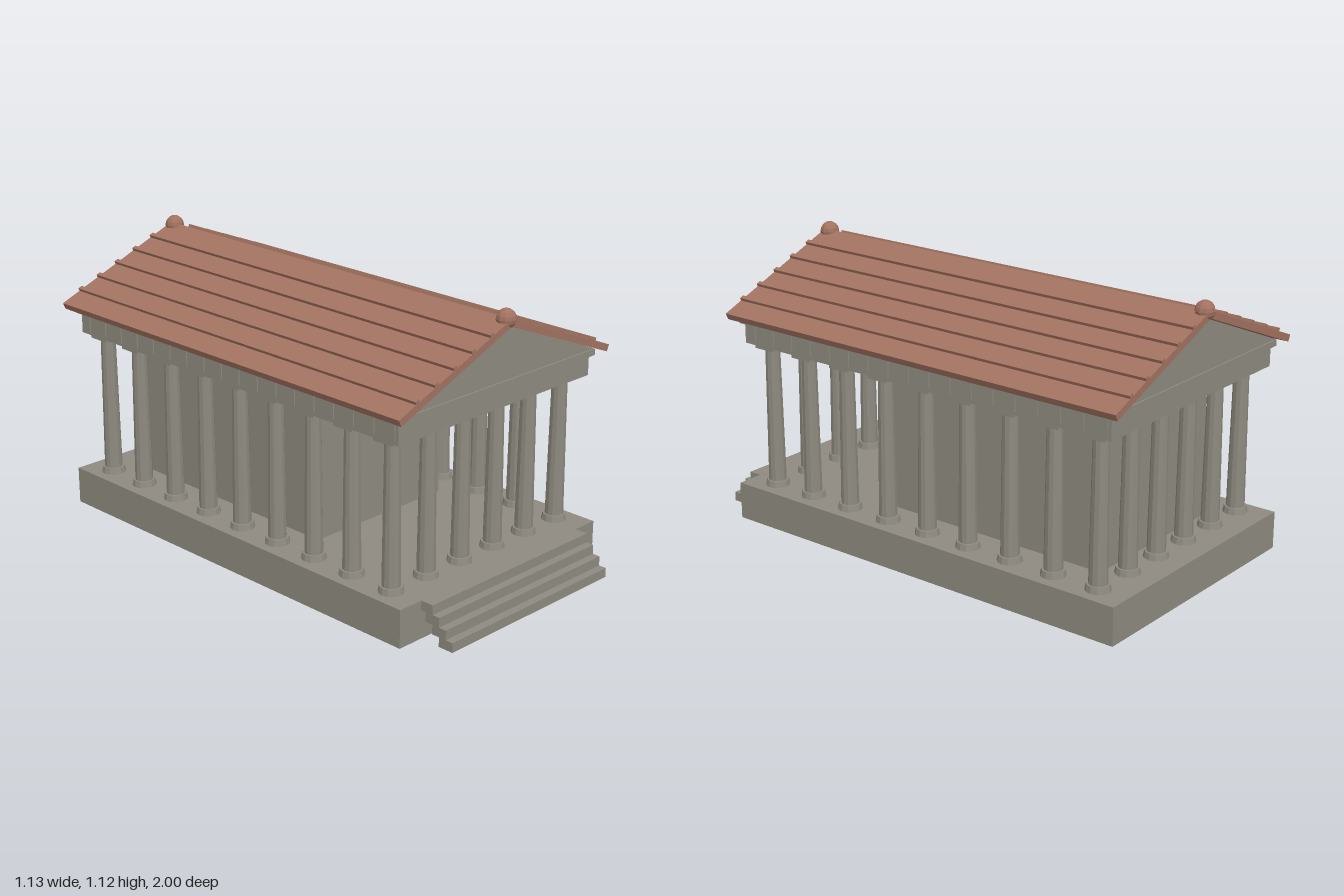
import * as THREE from 'three';

export function createModel() {
  const model = new THREE.Group();
  model.name = 'temple';

  const stone = new THREE.MeshStandardMaterial({ color: 0x8e8a80 });
  stone.name = 'grey stone';
  const tile = new THREE.MeshStandardMaterial({ color: 0xa27260 });
  tile.name = 'terracotta';

  const MID = -0.063; // z of the building's middle

  // Faceted copy of a geometry
  const facet = (geo) => {
    const g = geo.index ? geo.toNonIndexed() : geo;
    g.computeVertexNormals();
    return g;
  };
  const add = (parent, name, geo, mat, x = 0, y = 0, z = 0) => {
    const mesh = new THREE.Mesh(geo, mat);
    mesh.name = name;
    mesh.position.set(x, y, z);
    parent.add(mesh);
    return mesh;
  };
  // Box given by its width, bottom, top and depth
  const block = (parent, name, w, y0, y1, d, z = MID, x = 0) =>
    add(parent, name, new THREE.BoxGeometry(w, y1 - y0, d), stone, x, (y0 + y1) / 2, z);

  // Podium and inner chamber
  block(model, 'podium', 1.08, 0, 0.15, 1.826);
  block(model, 'chamber', 0.67, 0.15, 0.683, 1.005, -0.272);

  // Front stairs: overlapping slabs
  const stairs = new THREE.Group();
  stairs.name = 'stairs';
  for (let i = 0; i < 4; i++) {
    block(stairs, 'step', 0.864, i * 0.0375, (i + 1) * 0.0375, 0.064, 0.968 - i * 0.032);
  }
  model.add(stairs);

  // Columns around the edge, 6 by 9
  const baseGeo = facet(new THREE.CylinderGeometry(0.044, 0.049, 0.025, 12));
  const shaftGeo = facet(new THREE.CylinderGeometry(0.03, 0.036, 0.55, 12));
  const capitalGeo = new THREE.BoxGeometry(0.095, 0.017, 0.095);
  const columns = new THREE.Group();
  columns.name = 'columns';
  for (let i = 0; i < 6; i++) {
    for (let j = 0; j < 9; j++) {
      if (i > 0 && i < 5 && j > 0 && j < 8) continue;
      const column = new THREE.Group();
      column.name = 'column';
      column.position.set((i - 2.5) * 0.1815, 0.15, MID + (j - 4) * 0.1968);
      add(column, 'columnBase', baseGeo, stone, 0, 0.0125, 0);
      add(column, 'columnShaft', shaftGeo, stone, 0, 0.3, 0);
      add(column, 'columnCapital', capitalGeo, stone, 0, 0.5835, 0);
      columns.add(column);
    }
  }
  model.add(columns);

  // Beam, cornice and the small blocks along both sides
  block(model, 'beam', 1.03, 0.742, 0.822, 1.743);
  block(model, 'cornice', 1.056, 0.822, 0.847, 1.777);
  const frieze = new THREE.Group();
  frieze.name = 'friezeBlocks';
  for (const side of [-1, 1]) {
    for (let i = 0; i < 18; i++) {
      block(frieze, 'friezeBlock', 0.012, 0.757, 0.822, 0.042, MID + (i - 8.5) * 0.0984, side * 0.514);
    }
  }
  model.add(frieze);

  // Gable prism
  const gable = new THREE.Shape([
    new THREE.Vector2(-0.528, 0.847),
    new THREE.Vector2(0.528, 0.847),
    new THREE.Vector2(0, 1.06),
  ]);
  add(model, 'gable', new THREE.ExtrudeGeometry(gable, { depth: 1.765, bevelEnabled: false }),
    stone, 0, 0, MID - 0.8825);

  // Roof: two sloping slabs meeting at the ridge
  const ROOF_LENGTH = 1.845;
  const roof = new THREE.Group();
  roof.name = 'roof';
  const section = new THREE.Shape([
    new THREE.Vector2(0, 1.09),
    new THREE.Vector2(-0.567, 0.863),
    new THREE.Vector2(-0.556, 0.838),
    new THREE.Vector2(0, 1.061),
    new THREE.Vector2(0.556, 0.838),
    new THREE.Vector2(0.567, 0.863),
  ]);
  add(roof, 'roofSlabs', new THREE.ExtrudeGeometry(section, { depth: ROOF_LENGTH, bevelEnabled: false }),
    tile, 0, 0, MID - ROOF_LENGTH / 2);

  // Tile ribs running along each slope
  const ribGeo = new THREE.BoxGeometry(0.018, 0.024, ROOF_LENGTH);
  for (const side of [-1, 1]) {
    for (let i = 0; i < 5; i++) {
      const x = 0.102 + i * 0.0932;
      const rib = add(roof, 'roofRib', ribGeo, tile, side * x, 1.09 - 0.4 * x, MID);
      rib.rotation.z = -side * Math.atan(0.4);
    }
  }

  // Ball ornaments on both ends of the ridge
  const ballGeo = facet(new THREE.SphereGeometry(0.038, 10, 8));
  for (const z of [0.833, -0.961]) add(roof, 'ridgeBall', ballGeo, tile, 0, 1.086, z);
  model.add(roof);

  return model;
}
